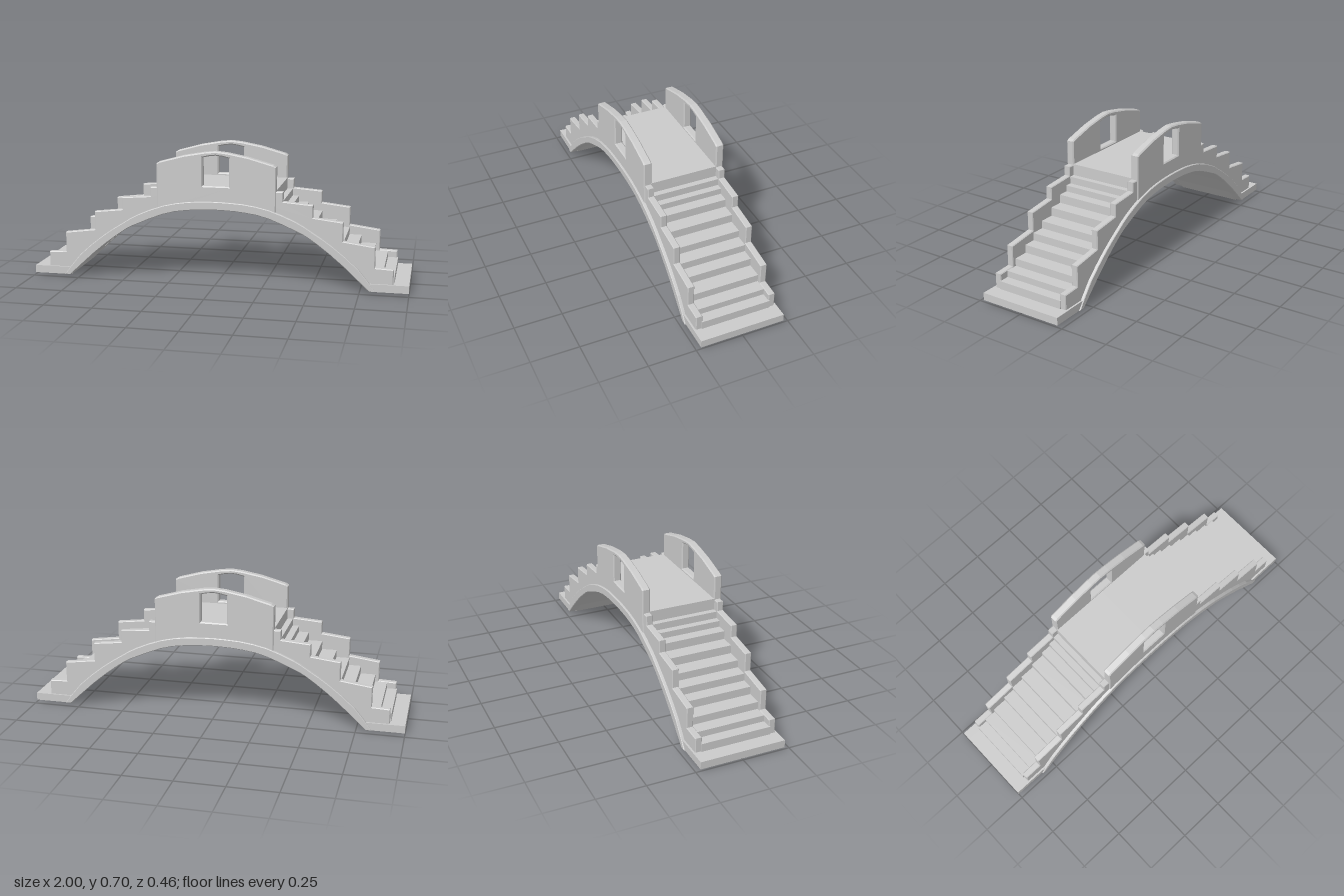
import * as THREE from 'three';

const material = new THREE.MeshStandardMaterial({ color: 0xcccccc, flatShading: true });

// Half profiles run from the middle (x = 0) outwards
const sample = (pts, n) =>
  new THREE.SplineCurve(pts.map(p => new THREE.Vector2(...p))).getPoints(n).map(p => [p.x, p.y]);
const soffit = sample([[0, 0.4], [0.12, 0.395], [0.26, 0.372], [0.42, 0.308], [0.5, 0.265], [0.64, 0.158], [0.8, 0.01]], 14);
const extrados = sample([[0, 0.442], [0.14, 0.436], [0.28, 0.41], [0.42, 0.355], [0.5, 0.308], [0.61, 0.235], [0.74, 0.125], [0.83, 0.01]], 14);

// Closed shape from a right-hand top line and bottom line, mirrored to the left
function mirrored(top, bottom) {
  const flip = pts => pts.map(([x, y]) => [-x, y]);
  const pts = [
    ...flip(top).reverse(), ...top.slice(1),
    ...[...bottom].reverse(), ...flip(bottom).slice(1),
  ];
  return new THREE.Shape(pts.map(p => new THREE.Vector2(...p)));
}

// Extrude a front-view shape between two z values, with an optional chamfer
function slab(name, shape, z0, z1, bevel = 0) {
  const geometry = new THREE.ExtrudeGeometry(shape, {
    depth: z1 - z0 - 2 * bevel, bevelEnabled: bevel > 0, bevelSize: bevel,
    bevelThickness: bevel, bevelOffset: -bevel, bevelSegments: 1,
  });
  geometry.translate(0, 0, z0 + bevel);
  const mesh = new THREE.Mesh(geometry, material);
  mesh.name = name;
  return mesh;
}

// Stairs, deck and vault, hollow under the lowest steps
function buildCore() {
  const risers = [
    [0.315, 0.51], [0.345, 0.45], [0.38, 0.413], [0.435, 0.38], [0.51, 0.335], [0.59, 0.29],
    [0.66, 0.25], [0.725, 0.21], [0.805, 0.167], [0.87, 0.127], [0.925, 0.093], [1, 0.05],
  ];
  const top = [[0, 0.51]];
  risers.forEach(([x, y], i) => {
    top.push([x, y]);
    top.push([x, i + 1 < risers.length ? risers[i + 1][1] : 0.01]);
  });
  const bottom = [
    ...soffit.slice(0, -1).map(([x, y]) => [x, y + 0.006]), [0.808, 0], [0.835, 0.008],
    [0.73, 0.15], [0.86, 0.088], [0.9, 0.04], [0.975, 0.035], [0.975, 0.01],
  ];
  return slab('stairsAndVault', mirrored(top, bottom), -0.185, 0.185);
}

// One side: stepped wall, parapet with window, arch rim and foot blocks
function buildSide(s) {
  const side = new THREE.Group();
  side.name = s > 0 ? 'frontSide' : 'backSide';
  const add = (name, shape, near, far, bevel) =>
    side.add(slab(name, shape, s > 0 ? near : -far, s > 0 ? far : -near, bevel));

  add('steppedWall', mirrored([
    [0, 0.505], [0.35, 0.505], [0.35, 0.455], [0.505, 0.443], [0.505, 0.378], [0.66, 0.36],
    [0.66, 0.262], [0.825, 0.24], [0.825, 0.132], [0.92, 0.128], [0.92, 0.03],
  ], [...extrados.slice(0, -1).map(([x, y]) => [x, y - 0.02]), [0.82, 0.03]]), 0.18, 0.215, 0.004);

  const parapet = mirrored(
    [[0, 0.703], [0.06, 0.697], [0.17, 0.677], [0.3, 0.641], [0.315, 0.632], [0.315, 0.39]],
    [[0, 0.43], [0.14, 0.427], [0.26, 0.405]]);
  parapet.holes.push(new THREE.Path(
    [[-0.07, 0.522], [0.07, 0.522], [0.07, 0.67], [0.035, 0.678], [0, 0.682], [-0.035, 0.678], [-0.07, 0.67]]
      .map(p => new THREE.Vector2(...p))));
  add('parapet', parapet, 0.178, 0.221, 0.006);

  add('archRim', mirrored(extrados, soffit), 0.18, 0.231, 0.003);

  for (const m of [1, -1]) {
    const foot = new THREE.Shape(
      [[0.8, 0.01], [1, 0.01], [1, 0.05], [0.78, 0.05]].map(([x, y]) => new THREE.Vector2(m * x, y)));
    add('footBlock', foot, 0.18, 0.225);
  }
  return side;
}

export function createModel() {
  const model = new THREE.Group();
  model.name = 'archedFootbridge';
  model.add(buildCore(), buildSide(1), buildSide(-1));
  return model;
}
